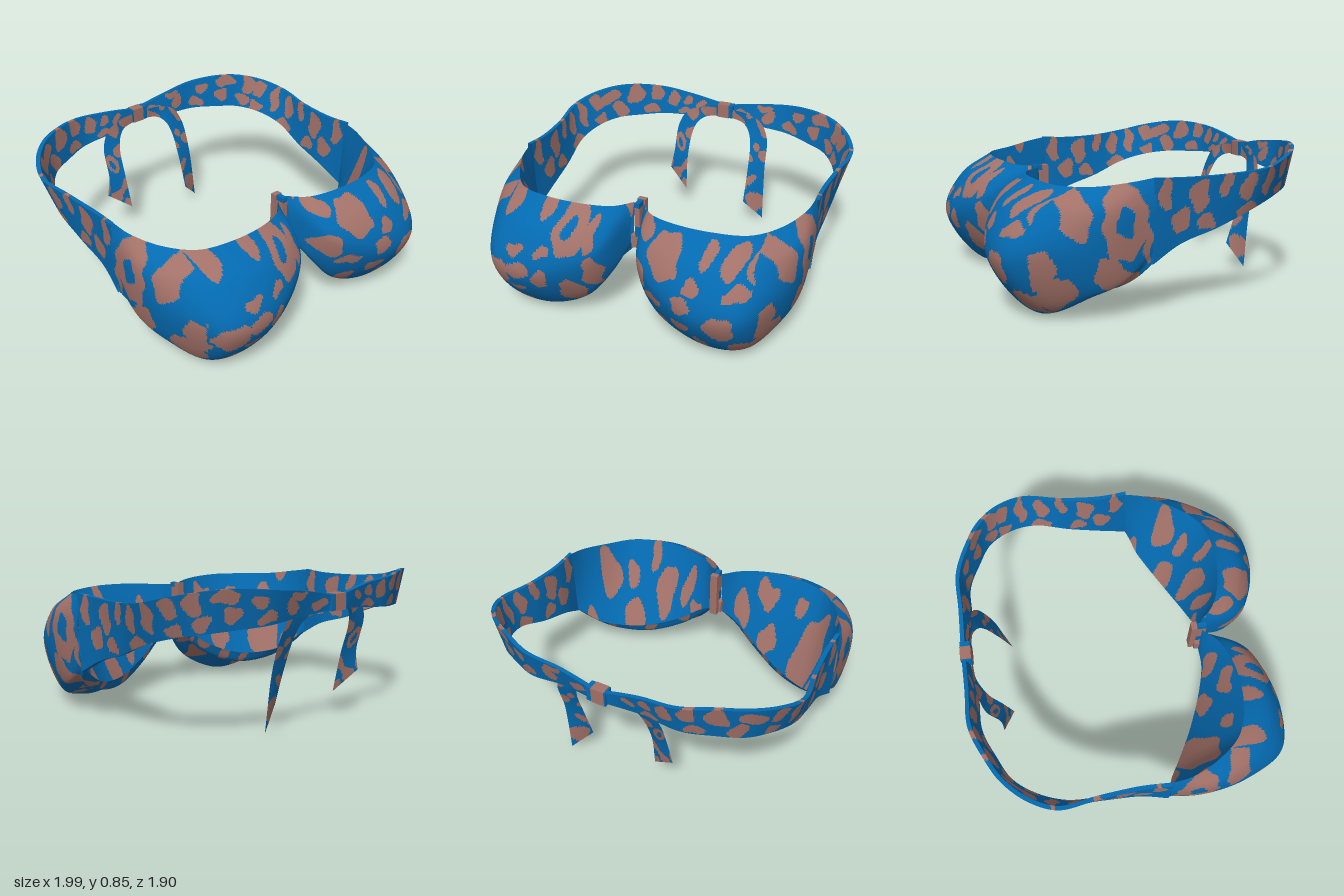
import * as THREE from 'three';

const blue = new THREE.MeshStandardMaterial({ color: 0x046ab0, side: THREE.DoubleSide });
blue.name = 'blue fabric';
const brown = new THREE.MeshStandardMaterial({ color: 0xa27168, side: THREE.DoubleSide });
brown.name = 'brown spots';

const V = (p) => new THREE.Vector3(...p);

// Seeded hash in 0..1 for a lattice cell
function hash(i, j, k, n) {
  const s = Math.sin(i * 127.1 + j * 311.7 + k * 74.7 + n * 53.3) * 43758.5453;
  return s - Math.floor(s);
}

// Scattered animal-print spots: jittered cells with irregular radii, some hollow
function scattered(p) {
  const c = 0.165;
  const x = p.x / c + 0.2 * Math.sin(p.y * 31 + p.z * 17);
  const y = p.y / (c * 1.25) + 0.2 * Math.sin(p.z * 29 + p.x * 23);
  const z = p.z / c + 0.2 * Math.sin(p.x * 27 + p.y * 19);
  const [ci, cj, ck] = [Math.floor(x), Math.floor(y), Math.floor(z)];
  for (let i = ci - 1; i <= ci + 1; i++)
    for (let j = cj - 1; j <= cj + 1; j++)
      for (let k = ck - 1; k <= ck + 1; k++) {
        const d = Math.hypot(
          x - i - 0.5 - 0.5 * (hash(i, j, k, 1) - 0.5),
          y - j - 0.5 - 0.5 * (hash(i, j, k, 2) - 0.5),
          z - k - 0.5 - 0.5 * (hash(i, j, k, 3) - 0.5));
        const r = 0.32 + 0.2 * hash(i, j, k, 4);
        if (d < r && !(hash(i, j, k, 5) > 0.75 && d < r * 0.4)) return true;
      }
  return false;
}

// Placed spots: centre u, v, half width, half height, optional hollow fraction
const frontSpots = [
  [-.87, .64, .06, .12], [-.71, .68, .05, .06], [-.29, .61, .075, .12, .42], [-.18, .58, .03, .08],
  [-.46, .69, .04, .04], [-.59, .48, .05, .03], [-.72, .31, .08, .08], [-.57, .36, .07, .05],
  [-.43, .32, .04, .06], [-.42, .49, .04, .03], [-.87, .42, .04, .03], [-.6, .22, .05, .02],
  [-.28, .22, .06, .09], [-.16, .36, .04, .1], [-.64, .08, .07, .05], [-.85, .23, .04, .06],
  [.29, .59, .09, .09], [.13, .45, .05, .07], [.48, .5, .04, .04], [.24, .34, .06, .03],
  [.65, .3, .07, .08], [.41, .24, .05, .04], [.53, .65, .03, .05], [.43, .4, .05, .05],
  [.67, .63, .05, .06], [.8, .62, .05, .07], [.72, .5, .06, .035], [.75, .11, .08, .06],
  [.52, .12, .03, .06], [.28, .17, .04, .05], [.12, .66, .05, .04],
];
const sideSpots = [
  [.33, .54, .11, .18, .45], [.58, .6, .065, .13], [.76, .3, .07, .1], [.67, .17, .09, .09],
  [.42, .28, .06, .08], [.33, .23, .1, .05], [.2, .42, .02, .1], [.1, .66, .035, .08],
  [-.1, .65, .05, .08], [-.25, .7, .03, .06], [0, .52, .05, .06], [-.15, .5, .05, .04],
  [-.38, .68, .04, .07], [-.4, .55, .06, .035], [-.51, .7, .03, .08], [-.63, .76, .04, .05],
  [-.65, .64, .06, .03],
];
const backSpots = [
  [-.66, .79, .05, .06], [-.52, .8, .04, .05], [-.39, .77, .04, .05], [-.28, .77, .03, .03],
  [-.18, .76, .03, .02], [-.82, .78, .05, .04], [-.75, .69, .04, .05], [-.55, .69, .05, .03],
  [-.3, .7, .05, .02], [.14, .74, .05, .025], [.28, .8, .05, .02], [.33, .74, .04, .04],
  [.53, .79, .04, .03], [.7, .82, .06, .035], [.67, .73, .04, .04], [.84, .78, .03, .06],
  [.48, .7, .05, .03], [.79, .69, .03, .04],
];
const liningSpots = [
  [-.7, .38, .1, .11], [-.8, .2, .06, .05], [-.38, .48, .06, .04], [-.57, .57, .04, .03],
  [-.32, .6, .07, .03], [-.18, .54, .05, .03], [-.9, .4, .03, .08], [.76, .17, .1, .06],
  [.57, .36, .07, .07], [.41, .53, .06, .07], [.78, .4, .06, .06], [.25, .56, .04, .04],
  [.53, .62, .03, .05], [.65, .5, .04, .04], [.16, .51, .04, .02],
];
function placed(list, u, v) {
  const wu = u + 0.01 * Math.sin(v * 45), wv = v + 0.01 * Math.sin(u * 50);
  return list.some(([a, b, ra, rb, hollow = 0]) => {
    const d = Math.hypot((wu - a) / ra, (wv - b) / rb);
    return d < 1.13 && d >= hollow;
  });
}
function outerRule(p) {
  if (p.z < -0.66) return placed(backSpots, p.x, p.y);
  if (Math.abs(p.x) > p.z + 0.02 && Math.abs(p.x) > 0.77) return placed(sideSpots, p.z, p.y);
  return p.z > 0.54 ? placed(frontSpots, p.x, p.y) : scattered(p);
}
const liningRule = (p) => placed(liningSpots, p.x, p.z);

// Smooth surface through stations of points; triangles are sorted by spot rule into two materials
function loft(name, stations, nu, nv, isSpot) {
  const rows = stations.map((s) => {
    const c = new THREE.CatmullRomCurve3(s.map(V));
    return Array.from({ length: nv + 1 }, (_, j) => c.getPoint(j / nv));
  });
  const pts = [];
  for (let j = 0; j <= nv; j++) {
    const c = new THREE.CatmullRomCurve3(rows.map((r) => r[j]));
    for (let i = 0; i <= nu; i++) pts.push(c.getPoint(i / nu));
  }
  const plain = [], spots = [];
  const tri = (a, b, c) => {
    const mid = pts[a].clone().add(pts[b]).add(pts[c]).divideScalar(3);
    (isSpot(mid) ? spots : plain).push(a, b, c);
  };
  for (let j = 0; j < nv; j++)
    for (let i = 0; i < nu; i++) {
      const a = j * (nu + 1) + i, d = a + nu + 1;
      tri(a, a + 1, d);
      tri(a + 1, d + 1, d);
    }
  const g = new THREE.BufferGeometry().setFromPoints(pts);
  g.setIndex([...plain, ...spots]);
  g.addGroup(0, plain.length, 0);
  g.addGroup(plain.length, spots.length, 1);
  g.computeVertexNormals();
  const m = new THREE.Mesh(g, [blue, brown]);
  m.name = name;
  return m;
}

// Cup sections from centre to side: rim, upper front, fullest front, underside, hem, lining edge
const cup = [
  [[.03, .7, .5], [.03, .62, .53], [.035, .54, .55], [.04, .45, .54], [.04, .4, .51], [.04, .41, .5]],
  [[.12, .7, .59], [.1, .62, .69], [.11, .5, .77], [.1, .31, .67], [.13, .31, .54], [.14, .35, .51]],
  [[.28, .71, .65], [.25, .6, .8], [.245, .42, .87], [.24, .14, .72], [.27, .19, .52], [.28, .25, .48]],
  [[.5, .715, .66], [.5, .59, .85], [.5, .33, .945], [.52, .01, .7], [.5, .1, .43], [.5, .17, .39]],
  [[.7, .71, .6], [.73, .58, .79], [.75, .35, .905], [.74, .04, .68], [.71, .12, .33], [.7, .18, .28]],
  [[.83, .715, .45], [.88, .6, .6], [.9, .4, .66], [.87, .14, .52], [.82, .17, .28], [.8, .22, .22]],
  [[.91, .74, .28], [.955, .6, .42], [.955, .4, .42], [.925, .22, .34], [.89, .23, .23], [.87, .27, .19]],
  [[.93, .76, .15], [.955, .63, .16], [.955, .5, .17], [.945, .4, .17], [.93, .3, .17], [.92, .31, .16]],
];

// Adds the shallow groove in front of the hem under each cup
const grooved = cup.map((r) => {
  const [bottom, hem] = [V(r[3]), V(r[4])];
  const groove = hem.clone().lerp(bottom, 0.25);
  groove.y += 0.035 * Math.min(1, hem.distanceTo(bottom) / 0.25);
  return [...r.slice(0, 4), groove.toArray(), ...r.slice(4)];
});

// Band sections from cup to back knot: top edge, bottom edge
const band = [
  [[.95, .76, .17], [.94, .3, .17]],
  [[.945, .75, 0], [.92, .39, 0]],
  [[.965, .755, -.25], [.925, .46, -.22]],
  [[.995, .78, -.48], [.93, .55, -.44]],
  [[.93, .82, -.64], [.88, .6, -.6]],
  [[.81, .85, -.77], [.78, .63, -.74]],
  [[.67, .86, -.85], [.64, .645, -.82]],
  [[.48, .845, -.925], [.47, .66, -.89]],
  [[.25, .82, -.93], [.25, .68, -.895]],
  [[.04, .78, -.94], [.04, .7, -.93]],
];

// Tie tail sections: outer edge, inner edge (the cut end is added per side)
const tail = [
  [[.04, .76, -.89], [.04, .7, -.89]],
  [[.16, .75, -.885], [.14, .68, -.88]],
  [[.27, .71, -.87], [.19, .64, -.855]],
  [[.33, .61, -.85], [.22, .56, -.825]],
  [[.345, .4, -.79], [.23, .4, -.77]],
];

// Moves a band point inward by the fabric thickness
function inward([x, y, z]) {
  const k = 0.025 / Math.hypot(x, z + 0.2);
  return [x - x * k, y, z - (z + 0.2) * k];
}

function box(name, size, pos, material) {
  const m = new THREE.Mesh(new THREE.BoxGeometry(...size), material);
  m.name = name;
  m.position.set(...pos);
  return m;
}

export function createModel() {
  const model = new THREE.Group();
  model.name = 'bikiniTop';

  for (const s of [1, -1]) {
    const side = s > 0 ? 'left' : 'right';
    const flip = (rows) => rows.map((r) => r.map(([x, y, z]) => [x * s, y, z]));

    // Cup shell and its lining
    model.add(loft(side + 'CupFront', flip(grooved), 130, 110, outerRule));
    model.add(loft(side + 'CupLining', flip(cup.map((r) => [r[0], r[5]])), 110, 50, liningRule));

    // Band: outer face, inner face and the two narrow edges
    const corners = band.map(([t, b]) => [t, b, inward(b), inward(t)]);
    ['Outer', 'LowerEdge', 'Inner', 'UpperEdge'].forEach((face, i) => {
      const rows = corners.map((c) => [c[i], c[(i + 1) % 4]]);
      model.add(loft(side + 'Band' + face, flip(rows), 140, i % 2 ? 2 : 30, outerRule));
    });

    // Hanging tie tail with a slanted end
    const end = s > 0
      ? [[.36, .03, -.75], [.23, .16, -.695]]
      : [[.37, .28, -.785], [.22, .16, -.725]];
    model.add(loft(side + 'TieTail', flip([...tail, end]), 80, 14, scattered));
  }

  // Knot at the back
  model.add(box('backKnot', [.12, .09, .06], [0, .74, -.915], blue));
  model.add(box('knotSpot', [.08, .094, .064], [-.01, .74, -.915], brown));

  // Centre clasp between the cups
  model.add(box('centreBar', [.05, .3, .035], [0, .56, .455], brown));
  model.add(box('clothNeck', [.03, .22, .06], [0, .6, .5], blue));
  model.add(box('neckSpot', [.032, .12, .062], [0, .62, .5], brown));
  model.add(box('claspPlate', [.085, .08, .06], [0, .455, .5], brown));
  return model;
}
